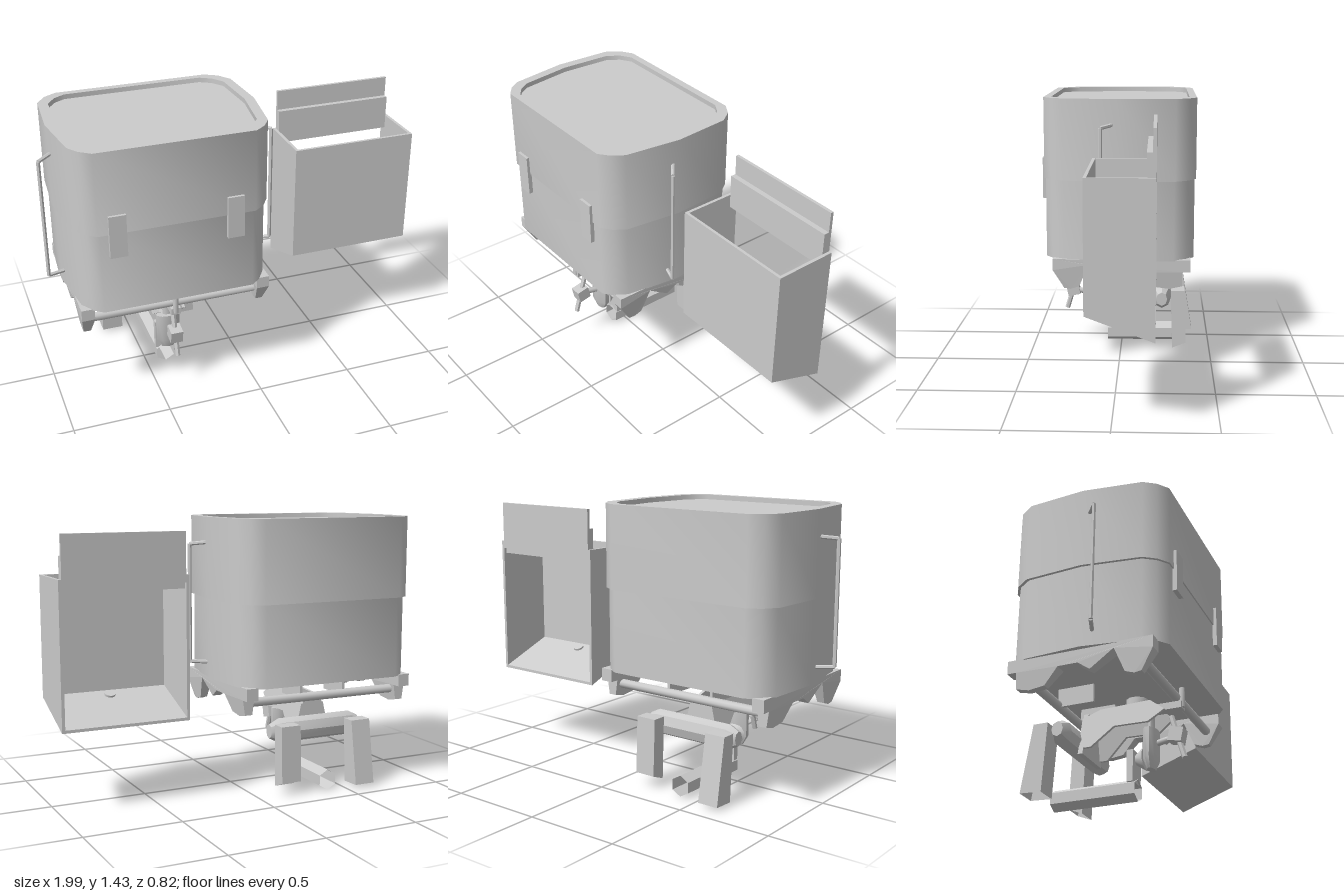
import * as THREE from 'three';
import { toCreasedNormals } from 'three/addons/utils/BufferGeometryUtils.js';

const CX = -0.397; // centre line of the case
const mat = new THREE.MeshStandardMaterial({ color: 0xcccccc });
const thin = new THREE.MeshStandardMaterial({ color: 0xcccccc, side: THREE.DoubleSide });
const V = (x, y, z) => new THREE.Vector3(x, y, z);
const shapeOf = pts => new THREE.Shape(pts.map(p => new THREE.Vector2(p[0], p[1])));

export function createModel() {
  const root = new THREE.Group();
  const add = (name, geo, m = mat) => {
    const mesh = new THREE.Mesh(geo, m);
    mesh.name = name;
    root.add(mesh);
    return mesh;
  };
  const box = (name, x0, x1, y0, y1, z0, z1) => {
    const g = new THREE.BoxGeometry(x1 - x0, y1 - y0, z1 - z0);
    g.translate((x0 + x1) / 2, (y0 + y1) / 2, (z0 + z1) / 2);
    return add(name, g);
  };
  // straight rod between two points
  const rod = (name, a, b, r, sides = 8) => {
    const d = b.clone().sub(a);
    const g = toCreasedNormals(new THREE.CylinderGeometry(r, r, d.length(), sides), 1);
    const mesh = add(name, g);
    mesh.position.copy(a).add(b).multiplyScalar(0.5);
    mesh.quaternion.setFromUnitVectors(V(0, 1, 0), d.normalize());
    return mesh;
  };
  // plate with a (z, y) profile between two x positions
  const sidePlate = (name, pts, x0, x1) => {
    const g = new THREE.ExtrudeGeometry(shapeOf(pts), { depth: x1 - x0, bevelEnabled: false });
    g.rotateY(-Math.PI / 2).translate(x1, 0, 0);
    return add(name, g);
  };

  // Case: eight-sided plan with rounded corners and bowed sides
  const half = [[0.40, -0.405], [0.465, -0.365], [0.512, -0.295], [0.531, 0],
    [0.49, 0.295], [0.45, 0.355], [0.395, 0.397]];
  const plan = (sx, sz) => {
    const right = half.map(([x, z]) => [CX + x * sx, -z * sz]);
    const left = half.map(([x, z]) => [CX - x * sx, -z * sz]).reverse();
    return shapeOf([...right, ...left].reverse());
  };
  const slab = (name, shape, y0, y1) => {
    const g = new THREE.ExtrudeGeometry(shape, { depth: y1 - y0, bevelEnabled: false });
    g.rotateX(-Math.PI / 2).translate(0, y0, 0);
    return add(name, toCreasedNormals(g, 0.8));
  };
  slab('caseTub', plan(0.973, 0.982), 0.585, 1.012);
  const lid = plan(1, 1);
  lid.holes.push(plan(0.905, 0.905));
  slab('caseLid', lid, 1.01, 1.435);
  slab('lidPanel', plan(0.91, 0.91), 1.012, 1.41);

  // Latches on the front
  for (const x of [-0.697, -0.108]) box('latch', x - 0.043, x + 0.043, 0.89, 1.11, 0.37, 0.412);

  // Side handles
  for (const s of [-1, 1]) {
    const p = [V(0.515, 1.303, 0.03), V(0.592, 1.293, 0.09), V(0.592, 0.67, 0.09), V(0.50, 0.663, 0.055)]
      .map(v => V(CX + s * v.x, v.y, v.z));
    for (let i = 0; i < 3; i++) rod('handle', p[i], p[i + 1], 0.01, 6);
  }

  // Notched skirts under both sides, tied together by rods
  const skirt = [[0.35, 0.59], [0.35, 0.53], [0.29, 0.43], [0.255, 0.425], [0.21, 0.44], [0.16, 0.56],
    [0.04, 0.48], [-0.02, 0.52], [-0.12, 0.52], [-0.19, 0.44], [-0.27, 0.43], [-0.335, 0.445],
    [-0.335, 0.525], [-0.38, 0.525], [-0.38, 0.59]];
  for (const s of [-1, 1]) {
    const c = CX + s * 0.458;
    const mesh = sidePlate('skirt', skirt, c - 0.033, c + 0.033);
    // the lower edge narrows
    const p = mesh.geometry.attributes.position;
    for (let i = 0; i < p.count; i++) {
      const k = 1 - 0.45 * THREE.MathUtils.clamp((0.53 - p.getY(i)) / 0.1, 0, 1);
      p.setX(i, c + (p.getX(i) - c) * k);
    }
    mesh.geometry.computeVertexNormals();
  }
  for (const z of [0.28, -0.29]) rod('tieRod', V(CX - 0.43, 0.5, z), V(CX + 0.43, 0.5, z), 0.023, 10);

  // Mounts below the case floor
  rod('floorSocket', V(-0.27, 0.525, 0.02), V(-0.27, 0.59, 0.02), 0.058, 10);
  for (const x of [-0.53, -0.27]) box('floorRail', x - 0.008, x + 0.008, 0.49, 0.59, -0.29, -0.1);

  // Splayed bracket on the centre line
  const bracket = [[0.16, 0.49], [0.24, 0.425], [0.16, 0.367], [-0.015, 0.37], [-0.125, 0.27],
    [-0.165, 0.27], [-0.19, 0.30], [-0.19, 0.44], [-0.10, 0.48]];
  for (const s of [-1, 1]) {
    const mesh = sidePlate('bracketPlate', bracket, CX - 0.008, CX + 0.008);
    const p = mesh.geometry.attributes.position;
    for (let i = 0; i < p.count; i++) p.setX(i, p.getX(i) + s * (0.05 + (0.48 - p.getY(i)) * 0.23));
    mesh.geometry.computeVertexNormals();
  }
  const rear = new THREE.ExtrudeGeometry(
    shapeOf([[-0.11, 0.24], [0.11, 0.24], [0.05, 0.47], [-0.05, 0.47]]), { depth: 0.025, bevelEnabled: false });
  add('bracketBack', rear.translate(CX, 0, -0.19));
  rod('bracketHook', V(CX, 0.45, 0.305), V(CX, 0.55, 0.305), 0.015);
  box('bracketHookArm', CX - 0.025, CX + 0.025, 0.44, 0.475, 0.14, 0.31);

  // Cross bar with chamfered ends
  const barPts = [[0, -0.27], [0.038, -0.27], [0.065, -0.215], [0.065, 0.215], [0.038, 0.27], [0, 0.27]]
    .map(p => new THREE.Vector2(p[0], p[1]));
  const bar = new THREE.LatheGeometry(barPts, 8).rotateZ(Math.PI / 2).scale(1, 1, 0.8);
  add('crossBar', toCreasedNormals(bar.translate(-0.383, 0.32, -0.23), 0.6));

  // Two hanging legs, hollow from below: corners (z, y) front top, back top, back foot, front foot
  const leg = (x0, x1, c) => {
    const g = new THREE.BoxGeometry(1, 1, 1);
    const p = g.attributes.position;
    for (let i = 0; i < p.count; i++) {
      const front = p.getZ(i) > 0, top = p.getY(i) > 0;
      const [z, y] = c[top ? (front ? 0 : 1) : (front ? 3 : 2)];
      p.setXYZ(i, p.getX(i) > 0 ? x1 : x0, y, z);
    }
    const idx = Array.from(g.index.array);
    idx.splice(18, 6); // open foot
    g.setIndex(idx);
    const flat = g.toNonIndexed();
    flat.computeVertexNormals();
    add('leg', flat, thin);
  };
  leg(-0.655, -0.543, [[-0.28, 0.36], [-0.355, 0.36], [-0.41, 0.02], [-0.30, 0.015]]);
  leg(-0.232, -0.12, [[-0.28, 0.367], [-0.355, 0.367], [-0.366, 0.07], [-0.29, 0.04]]);

  // Upright pivot body in front
  const pivotPts = [[0, 0.15], [0.035, 0.15], [0.065, 0.2], [0.065, 0.35], [0.028, 0.35], [0.028, 0.48], [0, 0.48]]
    .map(p => new THREE.Vector2(p[0], p[1]));
  const pivot = new THREE.LatheGeometry(pivotPts, 10).scale(1, 1, 0.55);
  add('pivotBody', toCreasedNormals(pivot.translate(CX, 0, 0.147), 0.7));
  const cone = new THREE.CylinderGeometry(0.025, 0.06, 0.05, 10).rotateX(-Math.PI / 2);
  add('pivotCone', toCreasedNormals(cone.translate(CX, 0.21, 0.095), 0.7));
  box('tubeHanger', CX - 0.05, CX + 0.05, 0.09, 0.25, 0.04, 0.072);

  // Open hexagonal tube
  const tube = new THREE.CylinderGeometry(0.055, 0.055, 0.44, 6, 1, true).rotateX(Math.PI / 2);
  add('hexTube', toCreasedNormals(tube.translate(CX, 0.056, -0.14), 0.5), thin);

  // Clamp block and lever
  rod('clampArm', V(CX, 0.28, 0.17), V(CX, 0.3, 0.27), 0.016);
  const clamp = box('clampBlock', -0.032, 0.032, -0.035, 0.035, -0.035, 0.035);
  clamp.position.set(CX, 0.305, 0.28);
  clamp.rotation.x = 0.2;
  rod('lever', V(CX, 0.41, 0.25), V(CX, 0.19, 0.316), 0.014, 6);

  // Bin beside the case: open top and back, sloping floor
  const binSide = [[0.12, 1.16], [-0.2, 1.16], [-0.2, 0.42], [0.12, 0.54]];
  sidePlate('binSide', binSide, 0.325, 0.341);
  sidePlate('binSide', binSide, 0.979, 0.995);
  box('binFront', 0.325, 0.995, 0.54, 1.16, 0.105, 0.12);
  sidePlate('binFloor', [[0.12, 0.54], [0.12, 0.555], [-0.2, 0.435], [-0.2, 0.42]], 0.325, 0.995);
  const disc = new THREE.CylinderGeometry(0.028, 0.028, 0.012, 16);
  add('binDisc', disc.rotateX(-0.36).translate(0.66, 0.537, 0.06));

  // Two sliding panels at the back of the bin
  box('innerPanel', 0.341, 0.979, 1.09, 1.27, -0.185, -0.157);
  box('outerPanel', 0.341, 0.979, 1.12, 1.375, -0.2, -0.184);
  return root;
}
